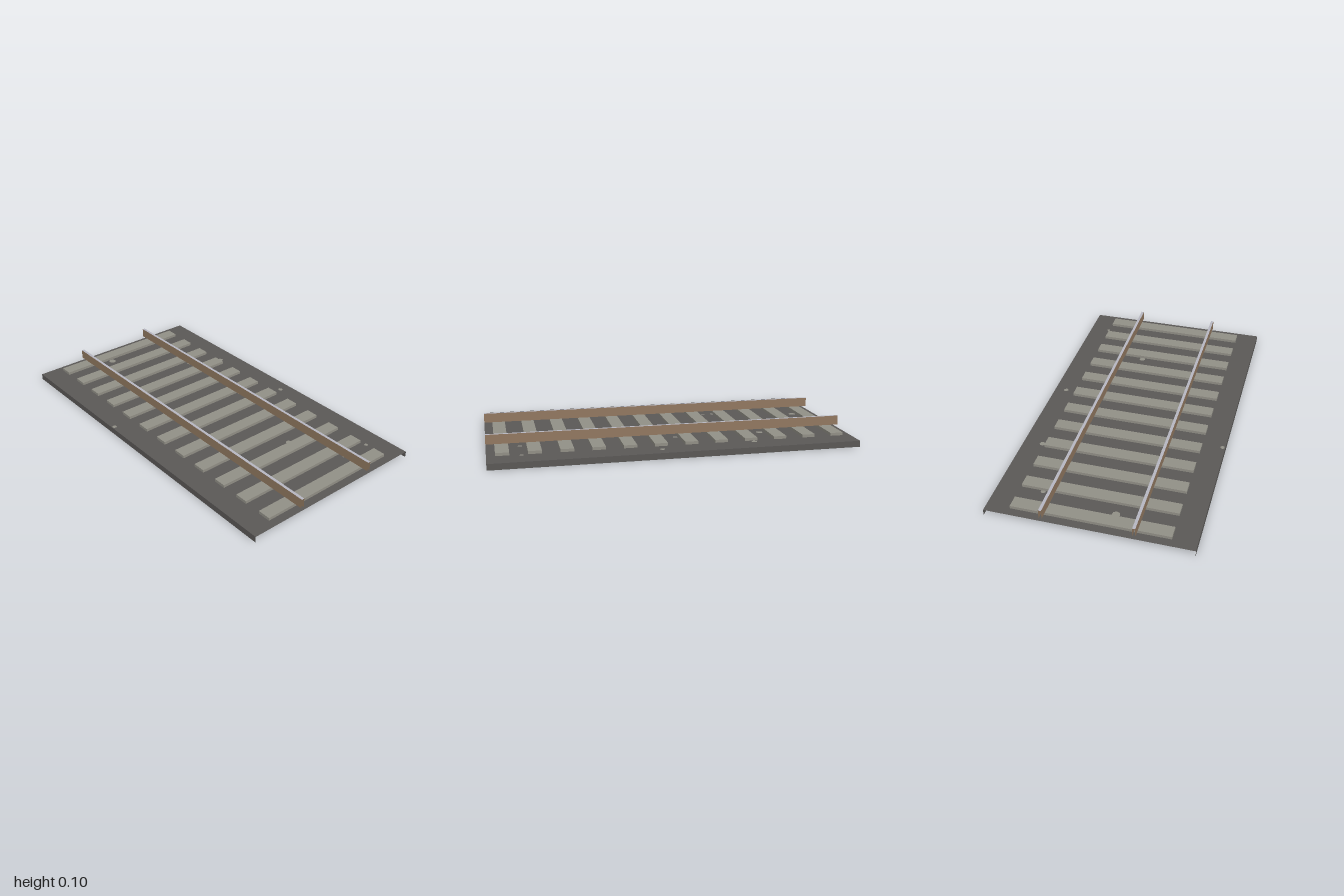
import * as THREE from 'three';

const flat = (name, color) => {
  const m = new THREE.MeshStandardMaterial({ color, side: THREE.DoubleSide });
  m.name = name;
  return m;
};

export function createModel() {
  const model = new THREE.Group();
  model.name = 'railwayTrack';
  const ballast = flat('ballastGrey', 0x5a5856);
  const concrete = flat('concreteGrey', 0x918f86);
  const rust = flat('rustBrown', 0x917860);
  const steel = flat('steelGrey', 0xb6b6c0);

  const BED_Y = 0.034, BED_Z = 0.547, TIE_TOP = 0.051, RAIL_TOP = 0.104;

  const add = (parent, name, geometry, material, x, y, z) => {
    const mesh = new THREE.Mesh(geometry, material);
    mesh.name = name;
    mesh.position.set(x, y, z);
    parent.add(mesh);
    return mesh;
  };
  const level = (w, d) => new THREE.PlaneGeometry(w, d).rotateX(-Math.PI / 2);
  const wall = (h, side) => {
    const g = new THREE.PlaneGeometry(2, h);
    return side < 0 ? g.rotateY(Math.PI) : g;
  };

  // Ballast bed: open underneath and at both ends
  const bed = new THREE.Group();
  bed.name = 'ballastBed';
  model.add(bed);
  add(bed, 'bedTop', level(2, 2 * BED_Z), ballast, 0, BED_Y, 0);
  for (const s of [-1, 1]) add(bed, 'bedSide', wall(BED_Y, s), ballast, 0, BED_Y / 2, s * BED_Z);

  // Sleepers, each with a ragged pale patch on the underside of the bed
  const tieHeight = TIE_TOP - BED_Y - 0.001;
  const tieGeometry = new THREE.BoxGeometry(0.072, tieHeight, 0.84);
  for (let i = 0; i < 12; i++) {
    const x = -0.919 + i * 0.167;
    add(model, 'sleeper', tieGeometry, concrete, x, TIE_TOP - tieHeight / 2, 0);

    const edge = [];
    for (const s of [1, -1]) {
      for (let k = 0; k <= 16; k++) {
        const z = s * (-0.4 + k * 0.05);
        const end = Math.abs(z) > 0.38 ? 0.45 : 1;
        const wobble = 0.005 * Math.sin(z * 31 + i * 2.3 + s) + 0.004 * Math.sin(z * 57 + i);
        edge.push(new THREE.Vector2(s * end * (0.031 + wobble), z));
      }
    }
    const patch = new THREE.ShapeGeometry(new THREE.Shape(edge)).rotateX(Math.PI / 2);
    add(bed, 'undersidePatch', patch, concrete, x, BED_Y - 0.002, 0);
  }

  // Stray pale stones lying flush in the bed: x, z, radius
  const stones = [
    [-0.86, 0.11, 0.022], [-0.43, -0.44, 0.016], [0.09, -0.48, 0.014], [0.82, -0.43, 0.011],
    [0.535, -0.12, 0.018], [-0.205, 0.532, 0.013], [-0.52, -0.262, 0.02], [-0.795, -0.3, 0.014],
    [-0.03, -0.26, 0.014], [0.82, -0.258, 0.013], [-0.375, 0.215, 0.012], [-0.32, 0.22, 0.01],
  ];
  for (const [x, z, r] of stones) {
    for (const dy of [0.0015, -0.002]) {
      const g = new THREE.CircleGeometry(r, 7).rotateX(dy > 0 ? -Math.PI / 2 : Math.PI / 2);
      add(bed, 'stone', g, concrete, x, BED_Y + dy, z);
    }
  }

  // Rails: rusty webs with a bright running surface, open at the ends
  const railHeight = RAIL_TOP - TIE_TOP, railWidth = 0.016;
  for (const side of [-1, 1]) {
    const rail = new THREE.Group();
    rail.name = side > 0 ? 'frontRail' : 'backRail';
    rail.position.z = side * 0.24;
    model.add(rail);
    add(rail, 'railTop', level(2, railWidth), steel, 0, RAIL_TOP, 0);
    for (const s of [-1, 1]) {
      add(rail, 'railSide', wall(railHeight, s), rust, 0, TIE_TOP + railHeight / 2, s * railWidth / 2);
    }
  }
  return model;
}
